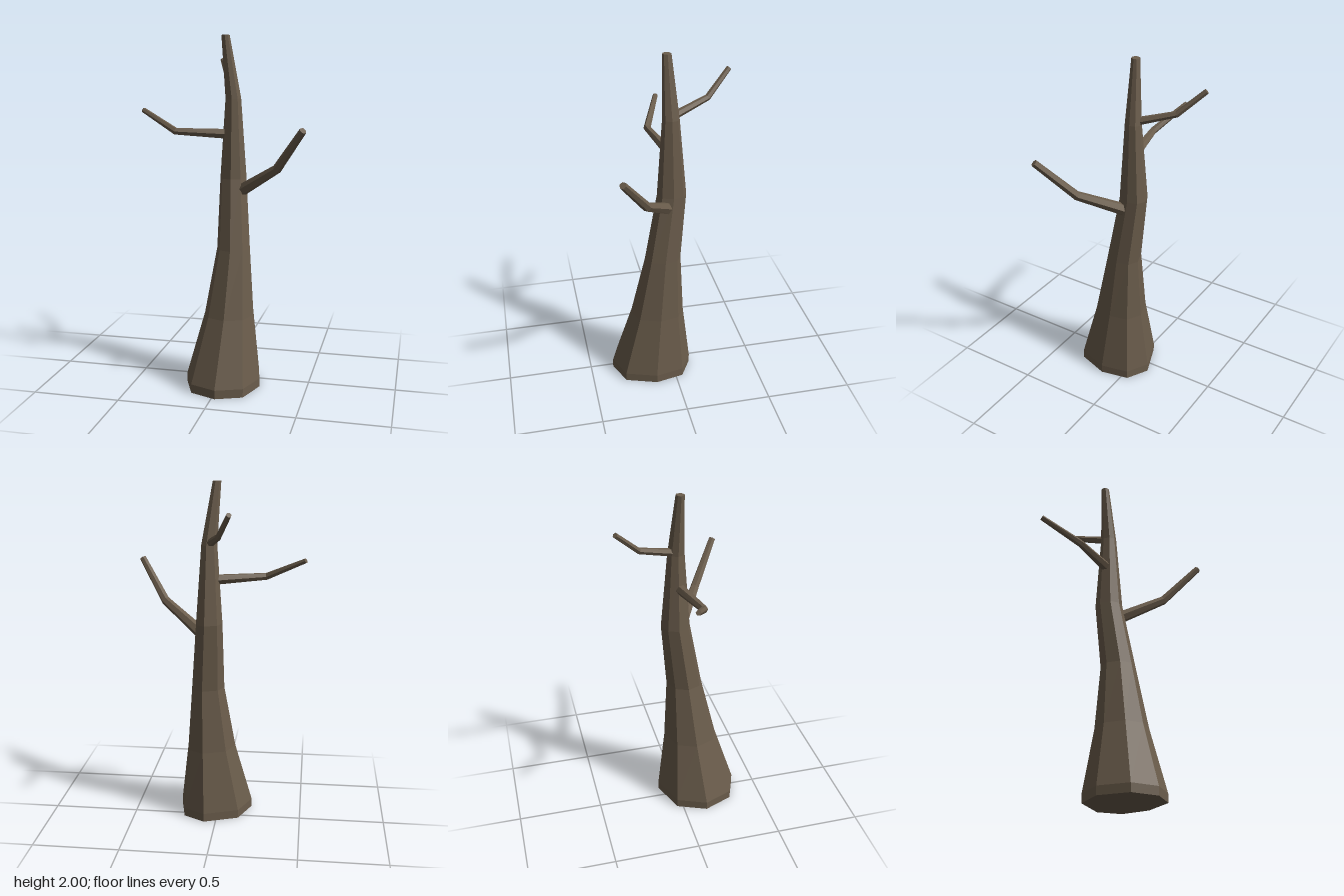
import * as THREE from 'three';

// Skin a list of rings (arrays of Vector3, counter-clockwise about the growth direction) and cap both ends
function loft(rings) {
  const n = rings[0].length;
  const pos = [];
  const tri = (a, b, c) => pos.push(...a.toArray(), ...b.toArray(), ...c.toArray());
  const centre = (ring) => ring.reduce((s, p) => s.add(p), new THREE.Vector3()).divideScalar(n);
  const bottom = rings[0], top = rings[rings.length - 1];
  const cb = centre(bottom), ct = centre(top);
  for (let i = 0; i < n; i++) {
    const k = (i + 1) % n;
    for (let j = 0; j < rings.length - 1; j++) {
      const lo = rings[j], hi = rings[j + 1];
      tri(lo[i], lo[k], hi[k]);
      tri(lo[i], hi[k], hi[i]);
    }
    tri(cb, bottom[k], bottom[i]);
    tri(ct, top[i], top[k]);
  }
  const geo = new THREE.BufferGeometry();
  geo.setAttribute('position', new THREE.Float32BufferAttribute(pos, 3));
  geo.computeVertexNormals();
  return geo;
}

// Tapered, kinked limb through the given points
function limb(points, radii, sides = 6) {
  const pts = points.map((p) => new THREE.Vector3(...p));
  const rings = pts.map((p, j) => {
    const dir = new THREE.Vector3();
    if (j > 0) dir.add(p.clone().sub(pts[j - 1]).normalize());
    if (j < pts.length - 1) dir.add(pts[j + 1].clone().sub(p).normalize());
    dir.normalize();
    const u = new THREE.Vector3(0, 1, 0).cross(dir).normalize();
    const v = dir.clone().cross(u);
    return Array.from({ length: sides }, (_, i) => {
      const a = (i / sides) * Math.PI * 2;
      return p.clone().addScaledVector(u, Math.cos(a) * radii[j]).addScaledVector(v, Math.sin(a) * radii[j]);
    });
  });
  return loft(rings);
}

export function createModel() {
  const group = new THREE.Group();
  group.name = 'deadTree';
  const bark = new THREE.MeshStandardMaterial({ color: 0x6b5d4c, flatShading: true });
  bark.name = 'bark';
  const add = (name, geo) => {
    const mesh = new THREE.Mesh(geo, bark);
    mesh.name = name;
    group.add(mesh);
  };

  // Irregular eight-sided foot outline, x and z
  const foot = [[0.02, 0.364], [0.17, 0.305], [0.23, 0.125], [0.195, -0.04],
    [0.07, -0.11], [-0.13, -0.035], [-0.2, 0.135], [-0.13, 0.305]];
  // Trunk levels: height, x range, z range
  const levels = [
    [0, -0.2, 0.23, -0.11, 0.364],
    [0.05, -0.2, 0.23, -0.11, 0.364],
    [0.42, -0.1, 0.185, -0.066, 0.247],
    [0.8, -0.036, 0.155, -0.048, 0.158],
    [1.2, -0.03, 0.122, -0.083, 0.082],
    [1.65, 0, 0.09, -0.045, 0.05],
    [2, -0.021, 0.026, -0.01, 0.038],
  ];
  add('trunk', loft(levels.map(([y, x0, x1, z0, z1]) => foot.map(([x, z]) => new THREE.Vector3(
    THREE.MathUtils.mapLinear(x, -0.2, 0.23, x0, x1), y,
    THREE.MathUtils.mapLinear(z, -0.11, 0.364, z0, z1))))));

  // Three bare branches, rooted inside the trunk
  add('leftBranch', limb([[0.07, 1.115, 0.015], [0.33, 1.285, 0.19], [0.49, 1.51, 0.34]], [0.037, 0.026, 0.02]));
  add('rightBranch', limb([[0.03, 1.45, 0.01], [-0.275, 1.465, 0.072], [-0.495, 1.575, -0.022]], [0.031, 0.021, 0.015]));
  add('backBranch', limb([[0.04, 1.66, -0.01], [-0.03, 1.725, -0.22], [-0.1, 1.858, -0.355]], [0.023, 0.018, 0.015]));
  return group;
}
